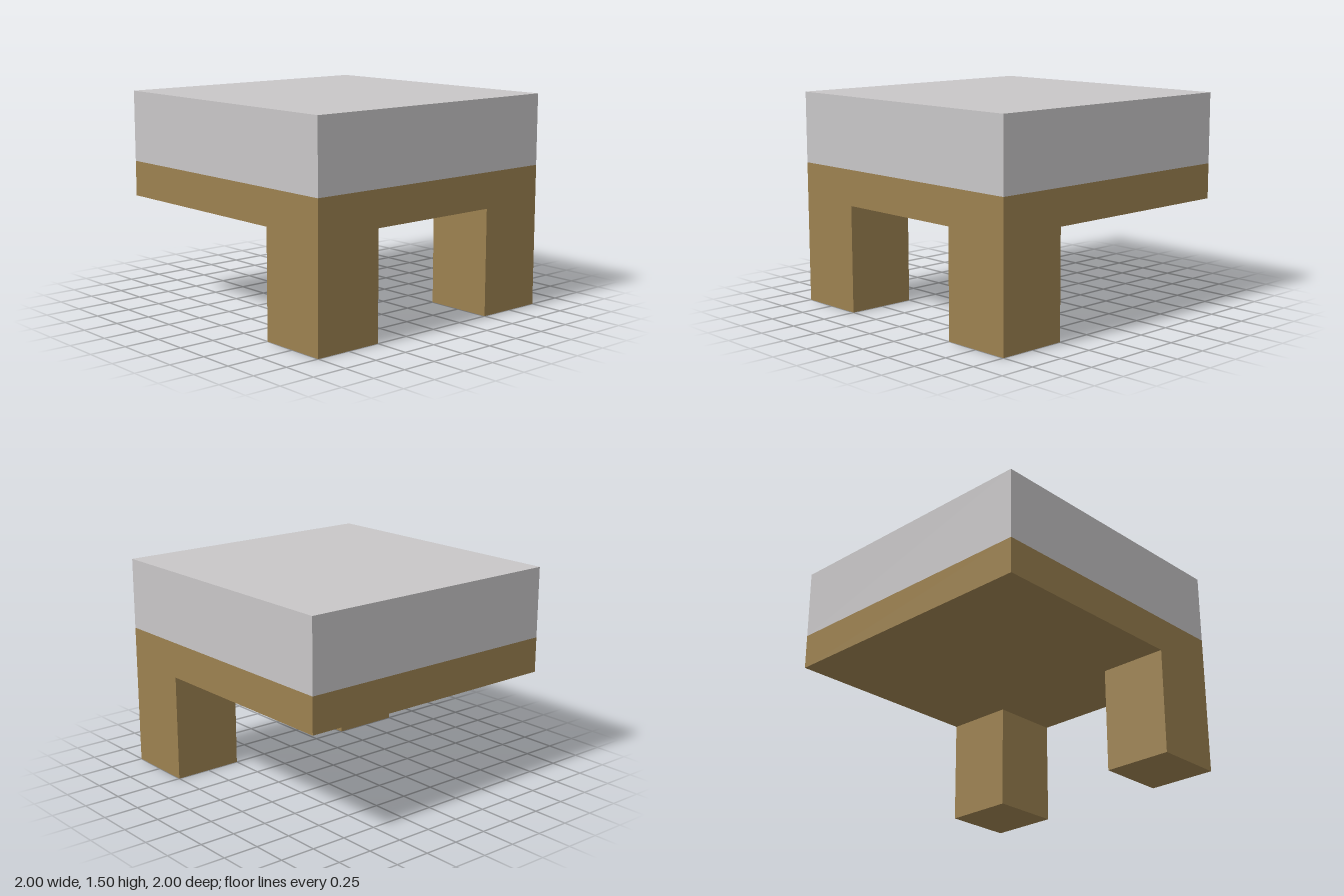
import * as THREE from 'three';

export function createModel() {
  const model = new THREE.Group();
  model.name = 'bench';

  const wood = new THREE.MeshStandardMaterial({ color: 0x9c8150 });
  wood.name = 'wood';
  const cushionGrey = new THREE.MeshStandardMaterial({ color: 0xc8c6c7 });
  cushionGrey.name = 'cushion grey';

  // Box placed by its base height
  function block(name, material, [w, h, d], [x, base, z]) {
    const mesh = new THREE.Mesh(new THREE.BoxGeometry(w, h, d), material);
    mesh.name = name;
    mesh.position.set(x, base + h / 2, z);
    model.add(mesh);
  }

  // Thick cushion on a wooden board
  block('cushion', cushionGrey, [2, 0.5, 2], [0, 1, 0]);
  block('seatBoard', wood, [2, 0.25, 2], [0, 0.75, 0]);

  // Two legs at the front corners, the back is open
  for (const side of [-1, 1]) {
    block(side > 0 ? 'leftLeg' : 'rightLeg', wood, [0.5, 0.75, 0.5], [side * 0.75, 0, 0.75]);
  }

  return model;
}
